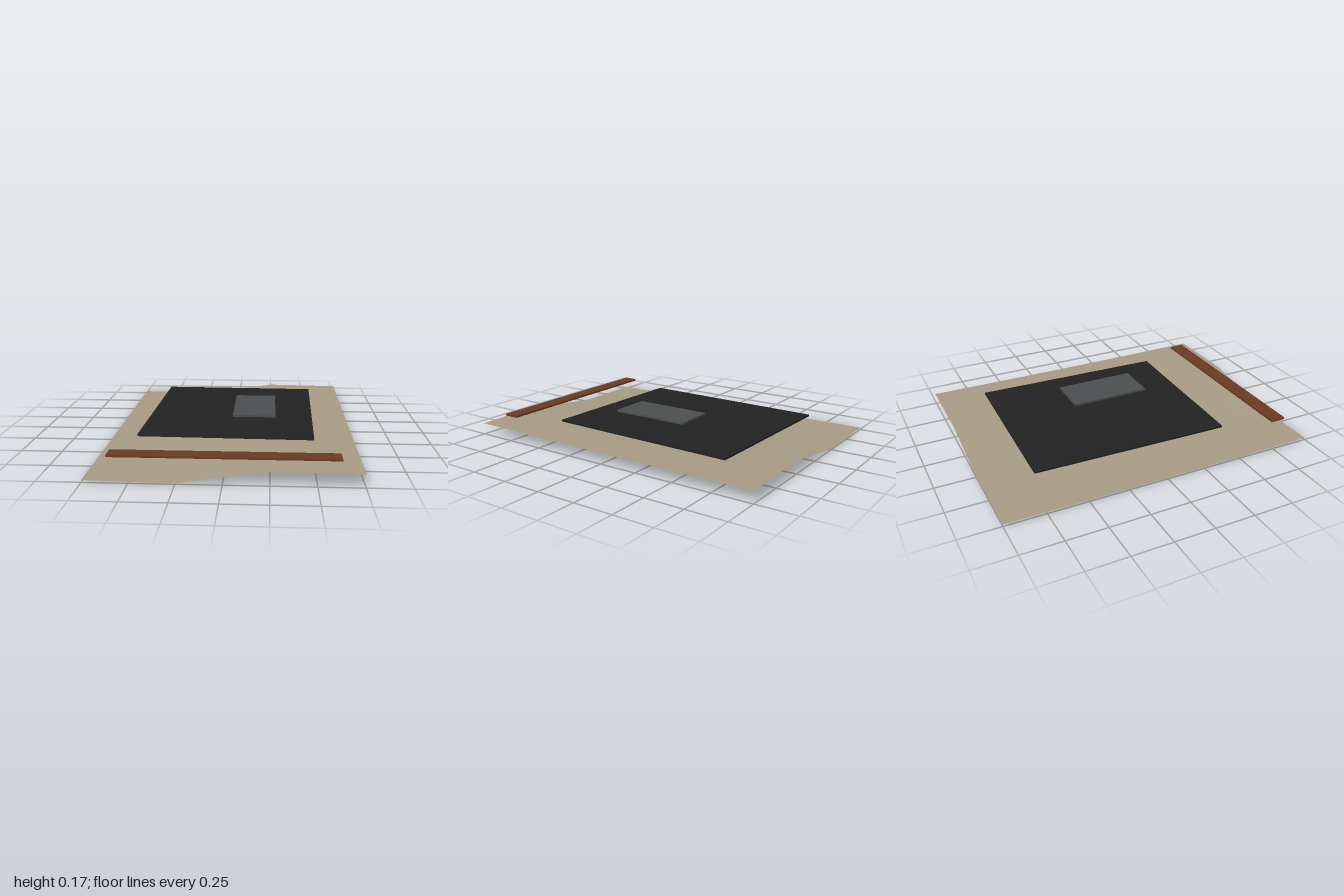
import * as THREE from 'three';

const material = (name, color, side = THREE.FrontSide) => {
  const m = new THREE.MeshStandardMaterial({ color, side });
  m.name = name;
  return m;
};

export function createModel() {
  const group = new THREE.Group();
  group.name = 'layeredMat';

  const sand = material('sand', 0xa69a83, THREE.DoubleSide);
  const black = material('black', 0x222222);
  const brown = material('brown', 0x6a3a23);
  const grey = material('grey', 0x4a4e4f);

  // Rippled base sheet: a stepped wave across x, ends lifted slightly along z
  const sheetGeometry = new THREE.PlaneGeometry(1.5, 2, 3, 4).rotateX(-Math.PI / 2);
  const wave = [0.008, 0, 0.075, 0.068];
  const position = sheetGeometry.attributes.position;
  for (let i = 0; i < position.count; i++) {
    const z = position.getZ(i);
    position.setY(i, wave[i % 4] + 0.005 * z * z);
  }
  sheetGeometry.computeVertexNormals();
  const sheet = new THREE.Mesh(sheetGeometry, sand);
  sheet.name = 'baseSheet';
  group.add(sheet);

  // Flat slabs floating above the sheet
  const addSlab = (name, size, centre, mat, turn = 0) => {
    const slab = new THREE.Mesh(new THREE.BoxGeometry(...size), mat);
    slab.name = name;
    slab.position.set(...centre);
    slab.rotation.y = turn;
    group.add(slab);
  };
  addSlab('mainPanel', [1.045, 0.012, 1.235], [-0.002, 0.111, -0.1], black, -0.024);
  addSlab('topPlate', [0.265, 0.012, 0.51], [0.148, 0.169, 0], grey);
  addSlab('frontStrip', [1.27, 0.012, 0.097], [0, 0.119, 0.863], brown);

  return group;
}
